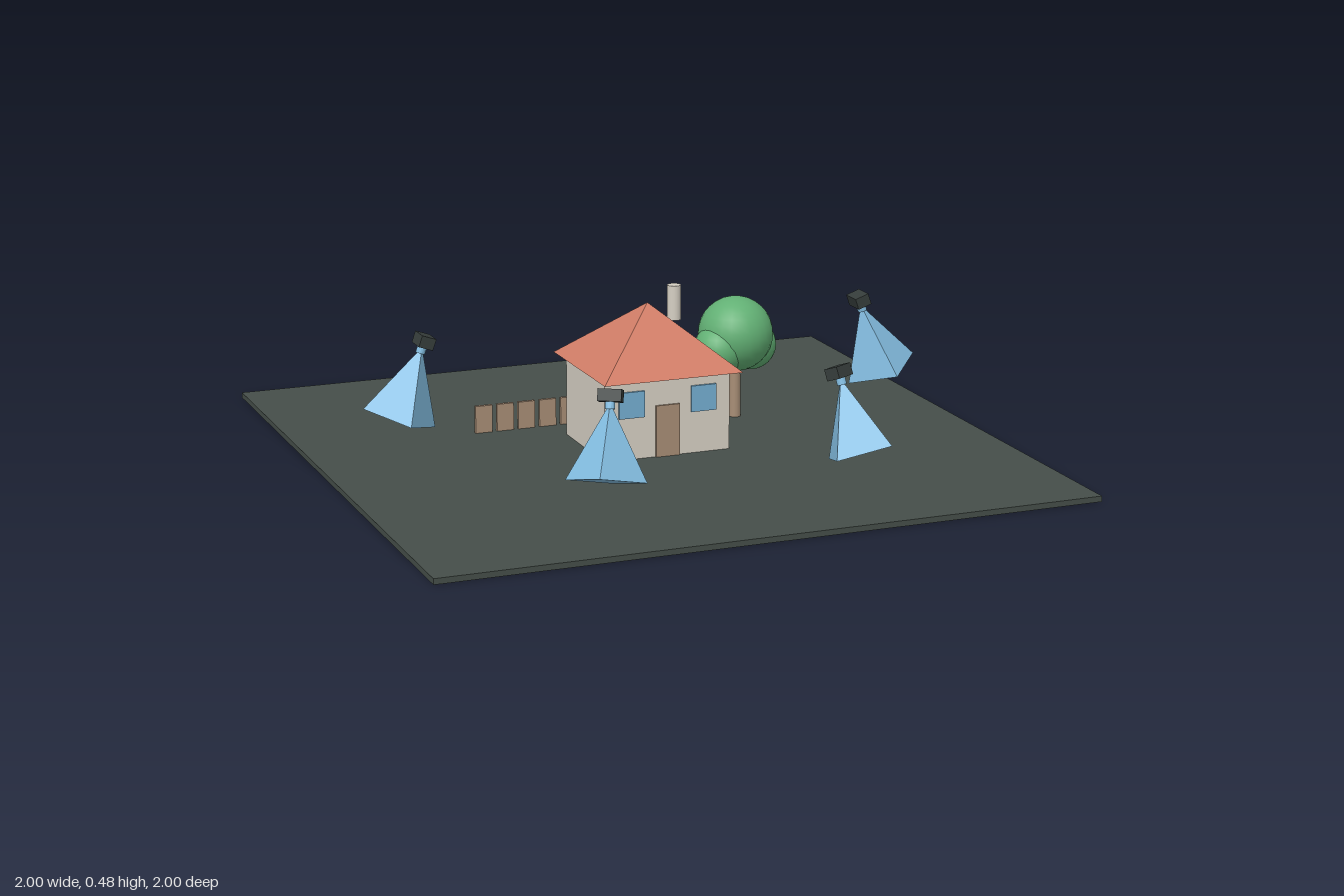
import * as THREE from 'three';

const mat = (name, color) => {
  const m = new THREE.MeshStandardMaterial({ color });
  m.name = name;
  return m;
};

export function createModel() {
  const ground = mat('slate ground', 0x454e49);
  const plaster = mat('plaster', 0xd6d0c4);
  const tile = mat('roof tile', 0xd07c66);
  const wood = mat('wood', 0xa88e76);
  const glass = mat('window blue', 0x74aed2);
  const beam = mat('view cone blue', 0x84bee2);
  const leaf = mat('leaf green', 0x62b074);
  const dark = mat('camera dark', 0x363d3b);
  tile.flatShading = beam.flatShading = true;

  const model = new THREE.Group();
  const add = (parent, name, geometry, material, x, y, z) => {
    const mesh = new THREE.Mesh(geometry, material);
    mesh.name = name;
    mesh.position.set(x, y, z);
    parent.add(mesh);
    return mesh;
  };
  const group = (name) => {
    const g = new THREE.Group();
    g.name = name;
    model.add(g);
    return g;
  };
  const box = (w, h, d) => new THREE.BoxGeometry(w, h, d);
  const floor = 0.017;

  add(model, 'ground', box(2, floor, 2), ground, 0, floor / 2, 0);

  // House with a hipped roof, chimney, door and windows front and back
  const house = group('house');
  add(house, 'walls', box(0.4, 0.25, 0.325), plaster, 0, floor + 0.125, 0);
  const roof = add(house, 'roof',
    new THREE.CylinderGeometry(0, 0.22 * Math.SQRT2, 0.185, 4), tile, 0, 0.3575, 0);
  roof.rotation.y = Math.PI / 4;
  add(house, 'chimney', new THREE.CylinderGeometry(0.021, 0.021, 0.107, 16), plaster, 0.112, 0.427, -0.063);
  add(house, 'door', box(0.075, 0.158, 0.008), wood, 0, floor + 0.079, 0.165);
  for (const side of [-1, 1])
    for (const face of [-1, 1])
      add(house, 'window', box(0.08, 0.08, 0.009), glass, side * 0.115, 0.185, face * 0.165);

  // Tree: a trunk under three leafy balls
  const tree = group('tree');
  add(tree, 'trunk', new THREE.CylinderGeometry(0.016, 0.019, 0.19, 12), wood, 0.36, floor + 0.095, -0.17);
  for (const [x, y, z, r] of [[0.363, 0.28, -0.175, 0.117], [0.425, 0.235, -0.2, 0.08], [0.298, 0.24, -0.15, 0.08]])
    add(tree, 'foliage', new THREE.SphereGeometry(r, 24, 16), leaf, x, y, z);

  // Row of fence boards behind the house
  const fence = group('fence');
  for (let i = 0; i < 5; i++)
    add(fence, 'fenceBoard', box(0.054, 0.085, 0.012), wood, -0.428 + i * 0.069, floor + 0.0425, -0.278);

  // Cameras around the house, each with a four-sided view cone leaning outward
  const cone = new THREE.CylinderGeometry(0, 0.116, 0.22, 4);
  for (const [degrees, height] of [[-90, 0.397], [90, 0.397], [-30, 0.35], [30, 0.35]]) {
    const yaw = THREE.MathUtils.degToRad(degrees);
    const cam = group('camera');
    cam.position.set(0.7 * Math.sin(yaw), height, 0.7 * Math.cos(yaw));
    cam.rotation.set(-0.34, yaw, 0, 'YXZ');
    add(cam, 'cameraBody', box(0.068, 0.035, 0.045), dark, 0, 0, 0);
    add(cam, 'lens', new THREE.CylinderGeometry(0.014, 0.014, 0.022, 16), beam, 0, -0.027, 0);
    add(cam, 'viewCone', cone, beam, 0, -0.13, 0);
  }
  return model;
}
